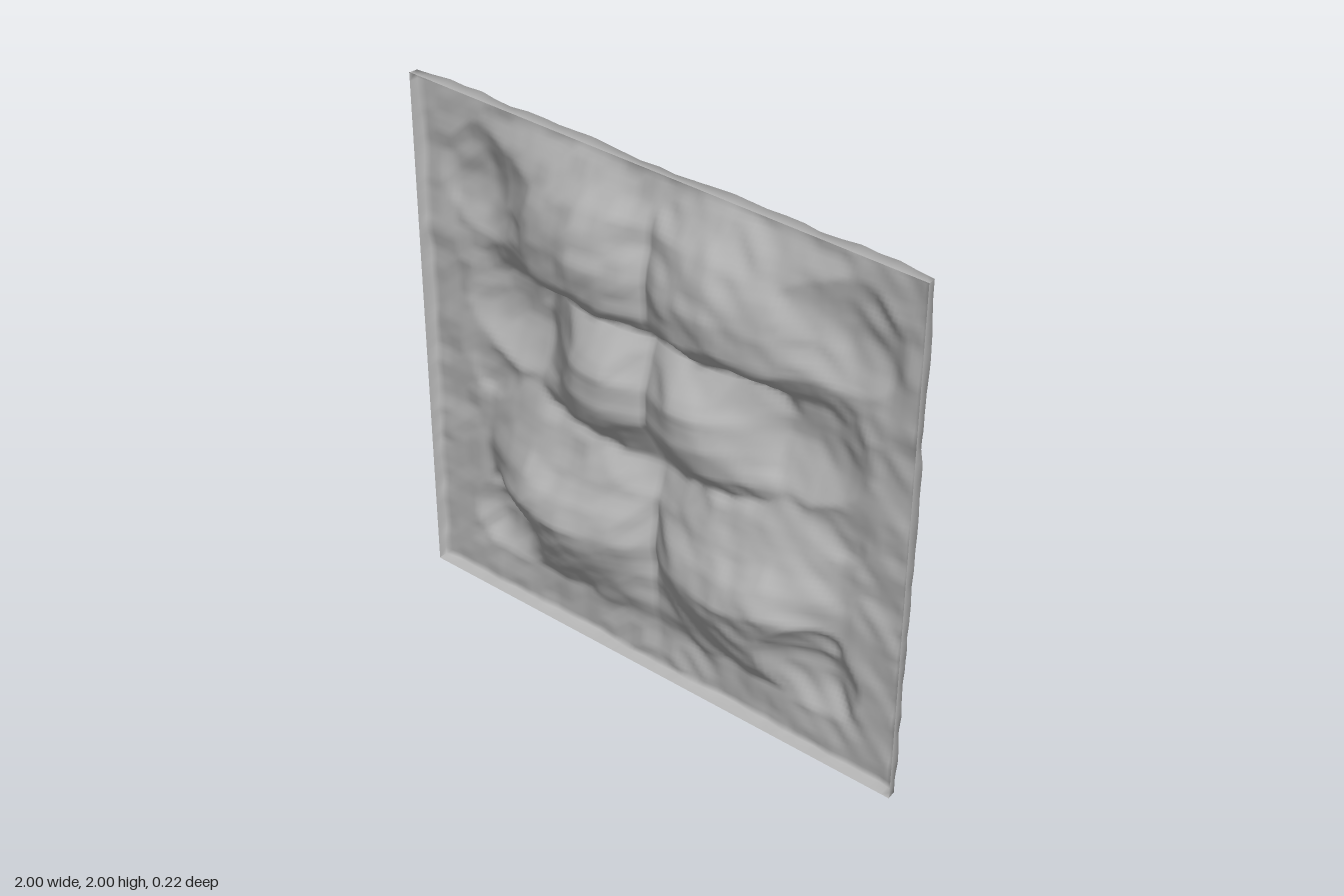
import * as THREE from 'three';

const RIM = -0.01, BASE = -0.052, SEG = 120, CELL = 2 / SEG, WALL = 0.003;
const { lerp, smoothstep } = THREE.MathUtils;

// Repeatable lattice noise in -1..1, each cell split in two for chipped planes
const hash = (i, j, s) => {
  const v = Math.sin(i * 127.1 + j * 311.7 + s * 74.7) * 43758.5453;
  return (v - Math.floor(v)) * 2 - 1;
};
function noise(x, y, s) {
  const i = Math.floor(x), j = Math.floor(y), u = x - i, v = y - j;
  const a = hash(i, j, s), b = hash(i + 1, j, s), c = hash(i, j + 1, s), d = hash(i + 1, j + 1, s);
  return u + v < 1 ? a + (b - a) * u + (c - a) * v : d + (c - d) * (1 - u) + (b - d) * (1 - v);
}

// Swells on the half panel: crest x, outward reach, share of height kept at the middle, profile of [y, height]
const swells = [
  { crest: 0.20, reach: 0.52, middle: 0.55, // upper
    profile: [[1.96, 0], [1.88, 0.045], [1.8, 0.095], [1.68, 0.13], [1.6, 0.142], [1.47, 0.122], [1.41, 0.08], [1.385, 0.03], [1.36, 0]] },
  { crest: 0.20, reach: 0.30, middle: 0.55, // middle
    profile: [[1.48, 0], [1.4, 0.05], [1.31, 0.1], [1.22, 0.15], [1.1, 0.145], [0.98, 0.075], [0.86, 0]] },
  { crest: 0.38, reach: 0.37, middle: 0.15, // lower
    profile: [[0.96, 0], [0.85, 0.05], [0.72, 0.085], [0.65, 0.13], [0.55, 0.16], [0.46, 0.13], [0.32, 0.07], [0.18, 0]] },
];

// Hollows on the half panel: x, y, width, height, depth
const hollows = [
  [0.70, 1.68, 0.20, 0.20, 0.040],
  [0.56, 1.24, 0.26, 0.24, 0.052],
  [0.72, 0.94, 0.12, 0.10, 0.022],
  [0.00, 0.90, 0.22, 0.16, 0.030],
  [0.66, 0.45, 0.12, 0.10, 0.045],
  [0.66, 0.33, 0.18, 0.17, 0.052],
];

function profileAt(points, y) {
  for (let i = 1; i < points.length; i++) {
    const [y0, h0] = points[i - 1], [y1, h1] = points[i];
    if (y <= y0 && y >= y1) return lerp(h0, h1, (y0 - y) / (y0 - y1));
  }
  return 0;
}

function swellHeight({ crest, reach, middle, profile }, x, y) {
  const inward = 1 - (1 - middle) * Math.pow(1 - x / crest, 2);
  const outward = Math.pow(Math.max(0, 1 - Math.pow((x - crest) / reach, 2)), 1.4);
  return profileAt(profile, y) * (x < crest ? inward : outward);
}

// Depth of the sheet, mirrored about the middle
function sheetDepth(x, y) {
  const ax = Math.abs(x);
  const wx = Math.max(0, ax + 0.025 * noise(ax * 8, y * 8, 3) * smoothstep(ax, 0, 0.1));
  const wy = y + 0.025 * noise(ax * 8, y * 8, 4);
  let z = BASE + Math.max(...swells.map((s) => swellHeight(s, wx, wy)));
  let hollow = 0;
  for (const [cx, cy, w, h, depth] of hollows) {
    const d2 = ((wx - cx) / w) ** 2 + ((wy - cy) / h) ** 2;
    if (d2 < 1) hollow = Math.max(hollow, depth * (1 - d2));
  }
  z += 0.008 * noise(ax * 7, y * 7, 11) + 0.007 * noise(ax * 15, y * 15, 16) - hollow;
  return Math.min(0.108, Math.max(-0.112, z));
}

// Push the outermost inner ring of points out so the rim drops almost straight
const toWall = (v) => (Math.abs(v) > 1 - 1.5 * CELL && Math.abs(v) < 1 - CELL / 2 ? Math.sign(v) * (1 - WALL) : v);

export function createModel() {
  const group = new THREE.Group();
  group.name = 'reliefPanel';
  const stone = new THREE.MeshStandardMaterial({ color: 0xb8b8b8, side: THREE.DoubleSide });
  stone.name = 'grey stone';

  // One thin embossed sheet with a turned rim, open at the back
  const geo = new THREE.PlaneGeometry(2, 2, SEG, SEG);
  const p = geo.attributes.position;
  for (let i = 0; i < p.count; i++) {
    const x = toWall(p.getX(i)), y = toWall(p.getY(i));
    const onRim = Math.max(Math.abs(x), Math.abs(y)) > 1 - WALL / 2;
    p.setXYZ(i, x, y + 1, onRim ? RIM : sheetDepth(x, y + 1));
  }
  geo.computeVertexNormals();
  const sheet = new THREE.Mesh(geo, stone);
  sheet.name = 'embossedSheet';
  group.add(sheet);
  return group;
}
